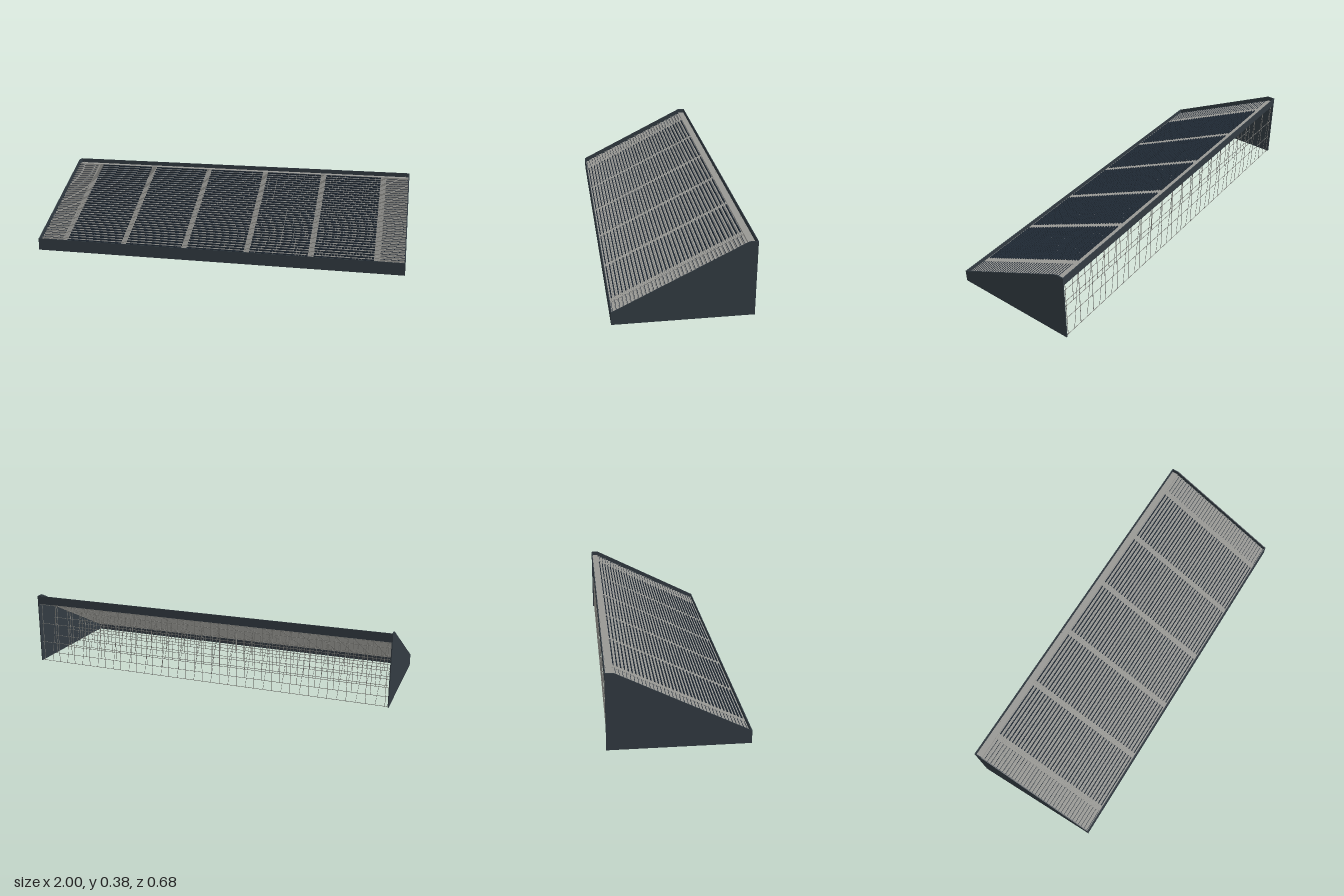
import * as THREE from 'three';
import { mergeGeometries } from 'three/addons/utils/BufferGeometryUtils.js';

const ROWS = 36, RUN = 0.0175, RISE = 0.00875;
const Z0 = 0.33, Y0 = 0.045;          // front edge and height of the first terrace
const PITCH = 0.3425, BLOCK = 0.3125; // seating blocks along x

const wallMat = new THREE.MeshStandardMaterial({ color: 0x323b42, side: THREE.DoubleSide });
wallMat.name = 'slate wall';
const concreteMat = new THREE.MeshStandardMaterial({ color: 0x989894, side: THREE.DoubleSide });
concreteMat.name = 'grey concrete';
const seatMat = new THREE.MeshStandardMaterial({ color: 0x202a35 });
seatMat.name = 'dark blue seat';
const steelMat = new THREE.MeshStandardMaterial({ color: 0x7c7c78 });
steelMat.name = 'grey steel';

function box(w, h, d, x, y, z) {
  return new THREE.BoxGeometry(w, h, d).translate(x, y, z);
}

// Thin square bar between two points
function bar(a, b, t = 0.002) {
  const dir = b.clone().sub(a), len = dir.length();
  const g = new THREE.BoxGeometry(t, len, t);
  g.applyQuaternion(new THREE.Quaternion().setFromUnitVectors(new THREE.Vector3(0, 1, 0), dir.normalize()));
  const m = a.clone().add(b).multiplyScalar(0.5);
  return g.translate(m.x, m.y, m.z);
}

// Profile in (-z, y), extruded along x and centred on cx
function extrudeX(points, width, cx) {
  const shape = new THREE.Shape(points.map(([u, y]) => new THREE.Vector2(u, y)));
  const g = new THREE.ExtrudeGeometry(shape, { depth: width, bevelEnabled: false });
  return g.translate(0, 0, -width / 2).rotateY(Math.PI / 2).translate(cx, 0, 0);
}

function add(group, name, geos, mat) {
  const mesh = new THREE.Mesh(geos.length > 1 ? mergeGeometries(geos) : geos[0], mat);
  mesh.name = name;
  group.add(mesh);
}

export function createModel() {
  const group = new THREE.Group();
  group.name = 'grandstand';

  // Side walls, front wall and rear fascia
  const side = [[-0.338, 0], [0.338, 0], [0.338, 0.383], [0.297, 0.383], [-0.333, 0.066], [-0.338, 0.066]];
  for (const s of [-1, 1]) {
    add(group, s > 0 ? 'leftWall' : 'rightWall', [extrudeX(side, 0.005, s * 0.9975)], wallMat);
  }
  add(group, 'frontWall', [box(1.99, 0.066, 0.005, 0, 0.033, 0.3355)], wallMat);
  add(group, 'rearFascia', [box(1.99, 0.045, 0.004, 0, 0.3605, -0.336)], wallMat);

  // Stepped terrace with a stepped underside
  const top = [[-0.333, Y0]];
  for (let i = 0; i < ROWS; i++) {
    const u = -Z0 + (i + 1) * RUN;
    top.push([u, Y0 + i * RISE], [u, Y0 + (i + 1) * RISE]);
  }
  top.push([0.334, Y0 + ROWS * RISE]);
  const under = top.map(([u, y], i) => [i === 0 || i === top.length - 1 ? u : u + 0.003, y - 0.004]).reverse();
  add(group, 'terrace', [extrudeX([...top, ...under], 1.99, 0)], concreteMat);

  // Half steps in the aisles, seats in the blocks, low kerbs at the ends
  const steps = [], seats = [], kerbs = [];
  const perBlock = 20, seatPitch = BLOCK / perBlock;
  for (let i = 0; i < ROWS; i++) {
    const z = Z0 - i * RUN, y = Y0 + i * RISE;
    for (let a = -2.5; a <= 2.5; a++) {
      steps.push(box(0.03, RISE / 2, RUN / 2, a * PITCH, y + RISE / 4, z - RUN * 0.75));
    }
    for (let b = -2; b <= 2; b++) {
      for (let k = 0; k < perBlock; k++) {
        const x = b * PITCH + (k - (perBlock - 1) / 2) * seatPitch;
        seats.push(box(seatPitch * 0.92, 0.0085, 0.005, x, y + 0.00425, z - RUN * 0.5));
      }
    }
    for (const s of [-1, 1]) {
      kerbs.push(box(0.123, 0.0025, 0.002, s * 0.9335, y + 0.00125, z - RUN * 0.2));
    }
  }
  add(group, 'aisleSteps', steps, concreteMat);
  add(group, 'seats', seats, seatMat);
  add(group, 'endKerbs', kerbs, seatMat);

  // Steel frames below the terrace
  const frame = [];
  const V = (x, y, z) => new THREE.Vector3(x, y, z);
  const underY = z => Y0 + Math.floor((Z0 - z) / RUN) * RISE - 0.005;
  const zs = [-0.33, -0.2, -0.07, 0.06, 0.19];
  const bays = 20, dx = 1.96 / bays;
  zs.forEach((z, r) => {
    const h = underY(z);
    for (let i = 0; i <= bays; i++) {
      const x = -0.98 + i * dx;
      frame.push(bar(V(x, 0, z), V(x, h, z)));
      if (i < bays && r % 2 === 0) frame.push(bar(V(x, h, z), V(x + dx * 0.5, 0.002, z), 0.0015));
    }
    for (let y = 0.002; y < h; y += 0.11) frame.push(bar(V(-0.99, y, z), V(0.99, y, z)));
  });
  // Raking beams under each frame line
  for (let i = 0; i <= bays; i++) {
    const x = -0.98 + i * dx;
    frame.push(bar(V(x, 0.034, 0.325), V(x, 0.346, -0.305), 0.003));
  }
  add(group, 'supportFrame', frame, steelMat);

  return group;
}
